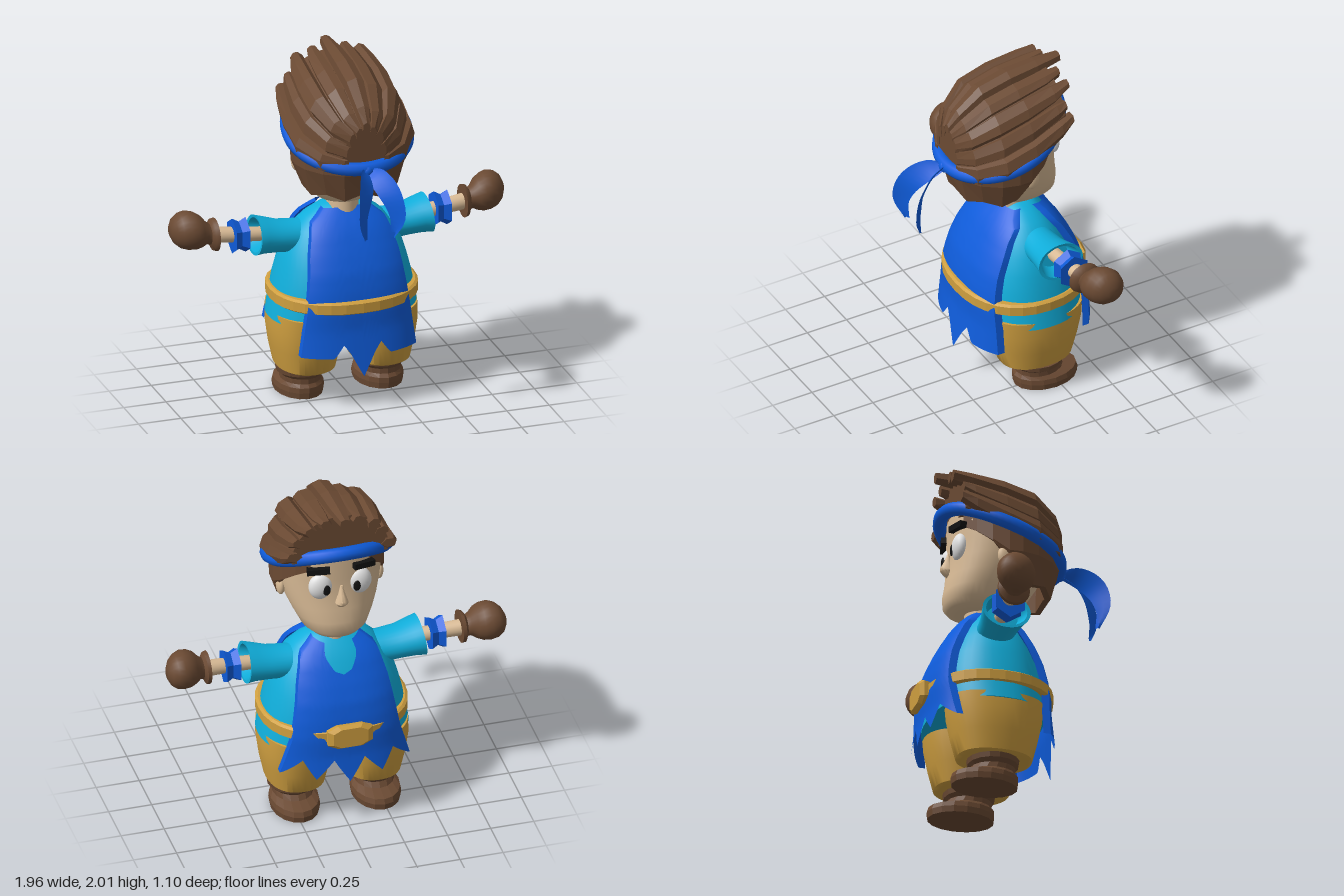
import * as THREE from 'three';
import { toCreasedNormals } from 'three/addons/utils/BufferGeometryUtils.js';

const mat = (name, color, side = THREE.FrontSide) => {
  const m = new THREE.MeshStandardMaterial({ color, side });
  m.name = name;
  return m;
};
const SMOOTH = 0.8, FLAT = 0.05, ZC = -0.155;

// Linear lookup in rows [key, a, b, ...] with ascending keys
function look(rows, v) {
  let i = 0;
  while (i < rows.length - 2 && v > rows[i + 1][0]) i++;
  const a = rows[i], b = rows[i + 1];
  const t = THREE.MathUtils.clamp((v - a[0]) / (b[0] - a[0]), 0, 1);
  return a.slice(1).map((n, k) => n + (b[k + 1] - n) * t);
}

function build(points, index, crease) {
  const g = new THREE.BufferGeometry();
  g.setAttribute('position', new THREE.Float32BufferAttribute(points.flat(), 3));
  g.setIndex(index);
  return toCreasedNormals(g, crease);
}

// Closed skin over a list of point rings, always wound outward
function loft(rings, crease = SMOOTH) {
  const n = rings[0].length, pts = rings.flat(), idx = [], m = rings.length;
  for (let i = 0; i < m - 1; i++) for (let j = 0; j < n; j++) {
    const k = (j + 1) % n, a = i * n + j, b = a + n, c = (i + 1) * n + k, d = i * n + k;
    idx.push(a, b, c, a, c, d);
  }
  for (const i of [0, m - 1]) {
    const mid = [0, 1, 2].map(q => rings[i].reduce((s, p) => s + p[q], 0) / n);
    const c = pts.push(mid) - 1;
    for (let j = 0; j < n; j++) {
      const a = i * n + j, b = i * n + (j + 1) % n;
      i === 0 ? idx.push(c, a, b) : idx.push(c, b, a);
    }
  }
  let vol = 0;
  const [A, B, C] = [0, 0, 0].map(() => new THREE.Vector3());
  for (let i = 0; i < idx.length; i += 3) {
    A.fromArray(pts[idx[i]]); B.fromArray(pts[idx[i + 1]]); C.fromArray(pts[idx[i + 2]]);
    vol += A.dot(B.cross(C));
  }
  return build(pts, vol < 0 ? idx.reverse() : idx, crease);
}

// Open grid of points, rows by columns
function sheet(grid) {
  const n = grid[0].length, idx = [];
  for (let i = 0; i < grid.length - 1; i++) for (let j = 0; j < n - 1; j++) {
    const a = i * n + j;
    idx.push(a, a + n, a + n + 1, a, a + n + 1, a + 1);
  }
  return build(grid.flat(), idx, SMOOTH);
}

// Horizontal ring (rounded ellipse) and upright ring across an arm
function ringY(y, cx, rx, cz, rz, n = 40, p = 2) {
  const f = v => Math.sign(v) * Math.abs(v) ** (2 / p);
  return Array.from({ length: n }, (_, i) => {
    const a = i / n * Math.PI * 2;
    return [cx + rx * f(Math.cos(a)), y, cz + rz * f(Math.sin(a))];
  });
}
const ringX = (s, x, y, z, ry, rz = ry, n = 24, lean = 0) => Array.from({ length: n }, (_, i) => {
  const a = i / n * Math.PI * 2;
  return [s * (x - lean * Math.cos(a)), y + ry * Math.cos(a), z + rz * Math.sin(a)];
});

// Body profile: height, half width, half depth
const BODY = [[0.2, 0.43, 0.36], [0.48, 0.43, 0.325], [0.6, 0.41, 0.325], [0.7, 0.39, 0.31], [0.8, 0.365, 0.285],
  [0.9, 0.335, 0.24], [1.0, 0.28, 0.185], [1.06, 0.22, 0.14], [1.1, 0.16, 0.1], [1.13, 0.1, 0.07]];
const bandY = z => look([[-0.45, 1.78], [-0.4, 1.76], [-0.2, 1.645], [0, 1.565], [0.29, 1.48]], z)[0];

export function createModel() {
  const group = new THREE.Group();
  const brown = mat('brown', 0x6b4a33), skin = mat('skin', 0xd9bb96), gold = mat('gold', 0xcf9f40);
  const blue = mat('blue', 0x0f5cdb, THREE.DoubleSide), cyan = mat('cyan', 0x10aedb);
  const white = mat('white', 0xe4e4e4), black = mat('black', 0x121212);
  const add = (name, geo, m) => {
    const mesh = new THREE.Mesh(geo, m);
    mesh.name = name;
    group.add(mesh);
    return mesh;
  };
  const ball = (name, m, pos, scale) => {
    const b = add(name, new THREE.SphereGeometry(1, 24, 16), m);
    b.position.set(...pos);
    b.scale.set(...scale);
    return b;
  };

  // Tunic, belt and buckle
  add('tunic', loft(BODY.slice(1).map(([y, rx, rz]) => ringY(y, 0, rx, ZC, rz, 48, 2.3))), cyan);
  add('belt', loft([[0.58, 0.41], [0.59, 0.425], [0.645, 0.425], [0.655, 0.41]]
    .map(([y, r]) => ringY(y, 0, r, -0.147, r - 0.05, 32, 2.25)), FLAT), gold);
  const plate = (z, w, h) => [[-w, -h * 0.6], [-w * 0.55, -h], [w * 0.55, -h], [w, -h * 0.6],
    [w, h * 0.6], [w * 0.55, h], [-w * 0.55, h], [-w, h * 0.6]].map(([x, y]) => [x, 0.62 + y, z]);
  add('buckle', loft([plate(-0.48, 0.13, 0.06), plate(-0.53, 0.13, 0.075), plate(-0.55, 0.1, 0.06)], FLAT), gold);

  // Cape and apron, wrapped around the body with turned-in side edges
  const wrap = (dir, widths, hem, top) => sheet(Array.from({ length: 25 }, (_, j) => {
    const row = [];
    for (let i = -25; i <= 25; i++) {
      const u = THREE.MathUtils.clamp(i / 24, -1, 1), off = Math.abs(i) === 25 ? -0.02 : 0.035;
      const lo = look(hem, Math.abs(u))[0], hi = look(top, Math.abs(u))[0];
      const y = lo + (hi - lo) * j / 24, [rx, rz] = look(BODY, y);
      const x = u * Math.min(look(widths, y)[0], rx + 0.02);
      const k = Math.max(0, 1 - Math.abs(x / (rx + 0.035)) ** 2.5) ** 0.4;
      row.push([x, y, ZC + dir * (rz + off) * k]);
    }
    return row;
  }));
  add('cape', wrap(1, [[0.2, 0.36], [0.33, 0.34], [0.6, 0.3], [0.9, 0.26], [1.05, 0.22], [1.13, 0.12]],
    [[0, 0.21], [0.2, 0.34], [0.33, 0.4], [0.48, 0.325], [1, 0.33]], [[0, 1.13], [1, 1.12]]), blue);
  add('apron', wrap(-1, [[0.2, 0.4], [0.36, 0.38], [0.6, 0.31], [0.9, 0.26], [1.05, 0.22], [1.13, 0.12]],
    [[0, 0.32], [0.25, 0.46], [0.5, 0.35], [0.75, 0.47], [1, 0.37]],
    [[0, 0.95], [0.2, 0.97], [0.38, 1.03], [0.5, 1.1], [1, 1.12]]), blue);

  for (const s of [1, -1]) {
    const side = s > 0 ? 'left' : 'right';
    // Legs and boots
    add(side + 'TrouserLeg', loft([[0.165, 0.14, 0.19], [0.18, 0.165, 0.215], [0.3, 0.19, 0.245], [0.42, 0.205, 0.27], [0.52, 0.2, 0.28]]
      .map(([y, rx, rz]) => ringY(y, s * 0.22, rx, ZC, rz, 36, 2.3))), gold);
    add(side + 'Ankle', loft([0.1, 0.2].map(y => ringY(y, s * 0.235, 0.1, -0.16, 0.11, 20))), skin);
    add(side + 'Boot', loft([[0, 0.135, -0.215, 0.19], [0.035, 0.14, -0.215, 0.195], [0.065, 0.135, -0.21, 0.19],
      [0.085, 0.115, -0.175, 0.14], [0.115, 0.115, -0.165, 0.13], [0.135, 0.14, -0.165, 0.145], [0.165, 0.145, -0.165, 0.15]]
      .map(([y, rx, cz, rz]) => ringY(y, s * 0.235, rx, cz, rz, 16)), FLAT), brown);

    // Arm: flared open sleeve, forearm, wristband, glove
    add(side + 'Sleeve', loft([[0.15, 0.94, 0.1, 0.1], [0.28, 0.945, 0.092, 0.105], [0.38, 0.955, 0.09, 0.115], [0.46, 0.97, 0.1, 0.13],
      [0.51, 0.975, 0.11, 0.14], [0.508, 0.975, 0.095, 0.12], [0.42, 0.97, 0.07, 0.09]]
      .map(([x, y, ry, rz]) => ringX(s, x, y, -0.165, ry, rz, 28, 0.012))), cyan);
    add(side + 'Forearm', loft([ringX(s, 0.4, 0.97, -0.17, 0.04), ringX(s, 0.6, 0.985, -0.18, 0.043),
      ringX(s, 0.78, 1.0, -0.2, 0.048)]), skin);
    add(side + 'Wristband', loft([[0.555, 0.105], [0.595, 0.082], [0.635, 0.105]]
      .map(([x, r]) => ringX(s, x, 0.98, -0.18, r, r * 0.92, 6)), FLAT), blue);
    add(side + 'Glove', loft([[0.73, 1.0, 0.095], [0.75, 1.0, 0.09], [0.765, 1.005, 0.062], [0.785, 1.015, 0.066], [0.815, 1.025, 0.092],
      [0.85, 1.03, 0.108], [0.89, 1.035, 0.112], [0.93, 1.035, 0.1], [0.96, 1.035, 0.075], [0.98, 1.035, 0.035]]
      .map(([x, y, r]) => ringX(s, x, y, -0.19 - (x - 0.73) * 0.2, r))), brown);

    // Face details
    ball(side + 'Eye', white, [s * 0.112, 1.515, -0.32], [0.07, 0.083, 0.045]);
    ball(side + 'Pupil', black, [s * 0.088, 1.505, -0.361], [0.022, 0.034, 0.008]);
    const brow = add(side + 'Eyebrow', new THREE.BoxGeometry(0.13, 0.035, 0.05), black);
    brow.position.set(s * 0.13, 1.632, -0.335);
    brow.rotation.set(0, s * -0.25, s * -0.08);
    ball(side + 'Ear', skin, [s * 0.285, 1.42, -0.11], [0.025, 0.06, 0.04]);

    // Ribbon tail: a curved leaf hanging from the knot
    const path = new THREE.CatmullRomCurve3([[0.0, 1.48, 0.29], [0.035, 1.46, 0.39], [0.075, 1.38, 0.48], [0.1, 1.26, 0.515], [0.075, 1.14, 0.49]]
      .map(([x, y, z]) => new THREE.Vector3(s * x, y, z)));
    add(side + 'RibbonTail', sheet(Array.from({ length: 17 }, (_, i) => {
      const t = i / 16, p = path.getPoint(t), w = 0.012 + 0.05 * Math.sin(Math.PI * t ** 0.8), d = path.getTangent(t);
      return [-1, 0, 1].map(k => [p.x + s * k * w * 0.8 + (k ? 0 : s * 0.012), p.y + k * w * -d.z * -0.8, p.z + k * w * -d.y * 0.8]);
    })), blue);
  }

  // Neck, head and nose
  add('neck', loft([1.05, 1.22].map(y => ringY(y, 0, 0.09, -0.14, 0.12, 24))), skin);
  add('head', loft([[1.16, 0.1, -0.3, -0.03], [1.175, 0.15, -0.355, 0.0], [1.21, 0.19, -0.378, 0.05], [1.28, 0.225, -0.378, 0.1],
    [1.36, 0.26, -0.362, 0.15], [1.45, 0.285, -0.352, 0.2], [1.55, 0.3, -0.345, 0.22], [1.65, 0.3, -0.35, 0.2], [1.74, 0.27, -0.345, 0.1]]
    .map(([y, rx, f, b]) => ringY(y, 0, rx, (f + b) / 2, (b - f) / 2, 40, 2.25))), skin);
  add('nose', loft([[1.38, 0.02, 0.01], [1.41, 0.038, 0.045], [1.43, 0.032, 0.048], [1.47, 0.018, 0.025], [1.52, 0.008, 0.005]]
    .map(([y, rx, rz]) => ringY(y, 0, rx, -0.355, rz, 14))), skin);

  // Lower hair: faceted shell around the back and sides of the head
  const fringe = [[0, 1.31], [22, 1.27], [44, 1.3], [66, 1.275], [84, 1.31], [98, 1.4], [115, 1.5], [132, 1.57], [148, 1.62]];
  const columns = [...fringe.slice(1).reverse().map(([a, y]) => [-a, y]), ...fringe];
  add('lowerHair', loft(columns.map(([deg, low]) => {
    const a = deg * Math.PI / 180, at = (k, y) => [0.325 * k * Math.sin(a), y, -0.045 + 0.32 * k * Math.cos(a)];
    const hi = bandY(at(1, 0)[2]) + 0.03, mid = Math.max(low + 0.01, Math.min(1.44, hi - 0.02));
    const low2 = 1 - 0.14 * THREE.MathUtils.clamp((1.5 - low) / 0.2, 0, 1);
    return [at(0.78, hi), at(1, hi), at(1, mid), at(low2, low), at(0.75, low)];
  }), FLAT), brown);

  // Swept hair: an inner mass and a fan of locks running from the knot to the brow
  const HAIR = [[-0.43, 0.29, 0.235], [-0.3, 0.335, 0.305], [-0.1, 0.36, 0.385], [0.08, 0.35, 0.405], [0.23, 0.25, 0.33], [0.28, 0.13, 0.27]];
  const hairPoint = (z, a, k) => {
    const [rx, ry] = look(HAIR, z);
    return [rx * k * Math.sin(a), bandY(z) + ry * k * Math.max(-0.1, Math.cos(a)), z];
  };
  add('hairMass', loft([-0.33, -0.1, 0.08, 0.22, 0.265].map(z =>
    Array.from({ length: 24 }, (_, i) => hairPoint(z, i / 24 * Math.PI * 2, 0.87))), FLAT), brown);
  for (let i = -4; i <= 4; i++) {
    const a = i * 0.37, h = 0.2, size = i % 2 ? 0.95 : 1.01;
    const tip = -0.43 + 0.07 * Math.abs(Math.sin(a)) + (i % 2 ? 0.03 : 0);
    add('hairLock', loft([tip, -0.28, -0.1, 0.08, 0.22, 0.278].map((z, j) => {
      const w = h * [0.6, 0.9, 1, 1, 1, 0.95][j];
      return [[-1, 0.83], [-0.72, 0.97], [0.1, 1], [0.75, 0.96], [1, 0.83], [0, 0.72]]
        .map(([q, k]) => hairPoint(z, a + q * w, k * size));
    }), FLAT), brown);
  }

  // Headband and knot
  const loop = Array.from({ length: 20 }, (_, i) => {
    const a = i / 20 * Math.PI * 2, z = -0.055 + 0.335 * Math.cos(a);
    return new THREE.Vector3(0.335 * Math.sin(a), bandY(z), z);
  });
  add('headband', new THREE.TubeGeometry(new THREE.CatmullRomCurve3(loop, true), 60, 0.04, 10, true), blue);
  ball('knot', blue, [0, 1.475, 0.295], [0.035, 0.035, 0.03]);
  return group;
}
